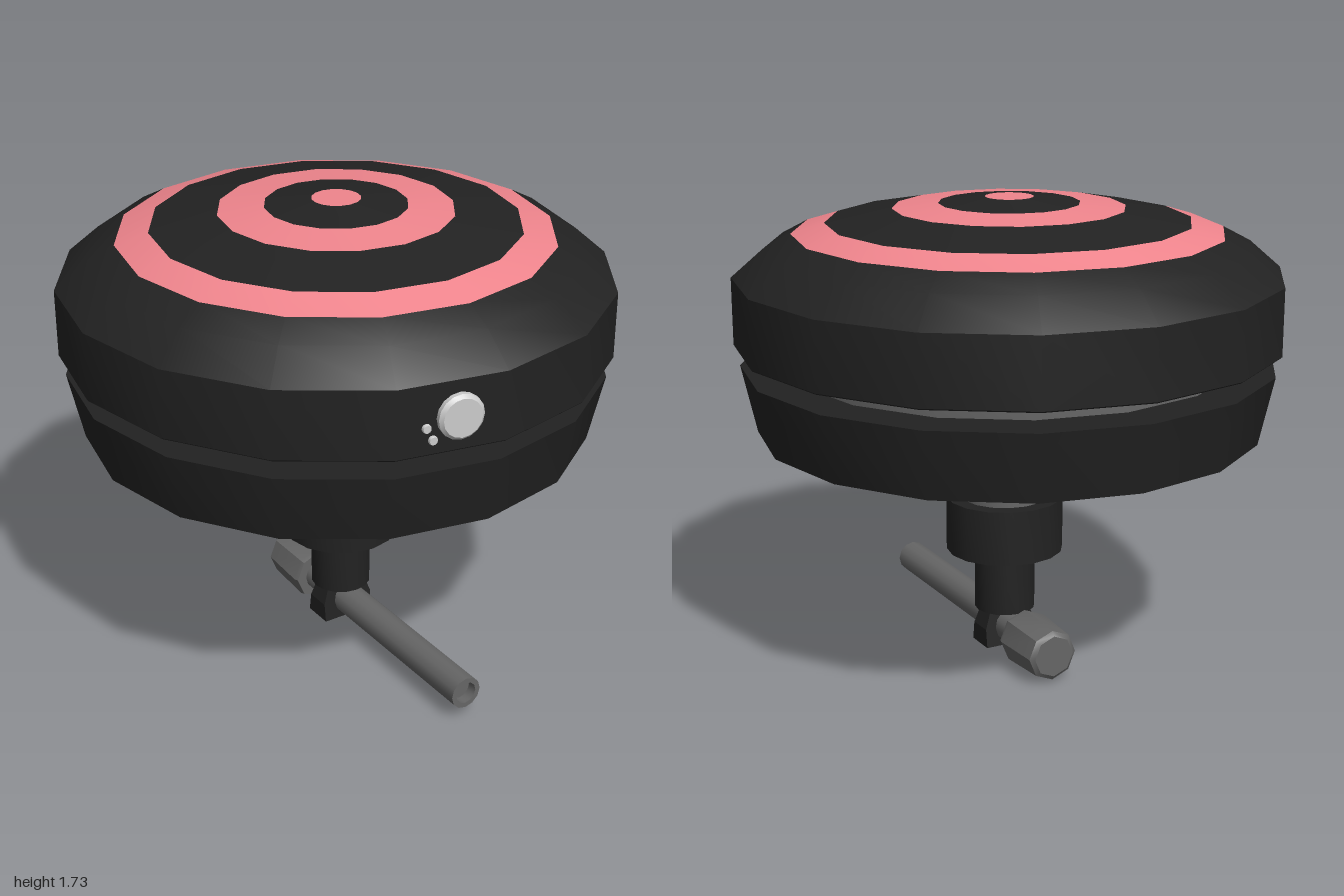
import * as THREE from 'three';
import { toCreasedNormals } from 'three/addons/utils/BufferGeometryUtils.js';

const paint = (color) => new THREE.MeshStandardMaterial({ color });
const black = paint(0x222222);
const pink = paint(0xf0858d);
const steel = paint(0x666666);
const silver = paint(0xcccccc);

// Turned part from [radius, height] pairs, listed from bottom to top
function turned(name, profile, sides, material) {
  const points = profile.map(([r, y]) => new THREE.Vector2(r, y));
  const geometry = toCreasedNormals(new THREE.LatheGeometry(points, sides), Math.PI / 5);
  const mesh = new THREE.Mesh(geometry, material);
  mesh.name = name;
  return mesh;
}

export function createModel() {
  const model = new THREE.Group();
  model.name = 'padOnStem';

  // Upper shell, then the domed top as alternating rings
  model.add(turned('upperShell',
    [[0.8, 1.21], [0.99, 1.21], [0.995, 1.215], [0.995, 1.46], [0.88, 1.56], [0.78, 1.613]], 16, black));
  const dome = [[0.78, 1.613], [0.66, 1.65], [0.42, 1.697], [0.255, 1.714], [0.088, 1.735], [0, 1.735]];
  for (let i = 0; i < dome.length - 1; i++) {
    model.add(turned('topRing' + (i + 1), [dome[i], dome[i + 1]], 16, i % 2 ? black : pink));
  }

  // Recessed band and tapered lower shell
  model.add(turned('recessedBand', [[0.82, 1.13], [0.82, 1.22]], 16, steel));
  model.add(turned('lowerShell',
    [[0, 0.888], [0.92, 0.888], [0.975, 1.138], [0.8, 1.138]], 16, black));

  // Mounting stem
  const stem = new THREE.Group();
  stem.name = 'stem';
  stem.position.x = 0.02;
  stem.add(turned('socket',
    [[0, 0.665], [0.205, 0.665], [0.205, 0.69], [0.218, 0.69], [0.218, 0.9]], 16, black));
  stem.add(turned('stemNeck', [[0.165, 0.6], [0.165, 0.68]], 16, steel));
  stem.add(turned('collar', [[0, 0.415], [0.218, 0.415], [0.218, 0.62], [0, 0.62]], 16, black));
  stem.add(turned('post', [[0, 0.18], [0.113, 0.18], [0.113, 0.43]], 16, black));

  // Clamp block that widens downwards
  const clampShape = new THREE.BoxGeometry(2, 0.14, 2, 1, 2, 1);
  const p = clampShape.attributes.position;
  for (let i = 0; i < p.count; i++) {
    const t = 0.5 - p.getY(i) / 0.14;
    p.setX(i, p.getX(i) * (0.08 + 0.025 * Math.min(1, t * 2)));
    p.setZ(i, p.getZ(i) * (0.038 + 0.02 * t));
  }
  const clamp = new THREE.Mesh(toCreasedNormals(clampShape, 0.3), black);
  clamp.name = 'clamp';
  clamp.position.y = 0.112;
  stem.add(clamp);

  // Cross rod with a hollow front end and a rear knob, both lying along z
  const crossRod = new THREE.Group();
  crossRod.name = 'crossRod';
  crossRod.position.set(0.003, 0.112, 0);
  crossRod.rotation.x = Math.PI / 2;
  crossRod.add(turned('rod',
    [[0.061, -0.2], [0.061, 0.808], [0.042, 0.808], [0.042, 0.77], [0, 0.77]], 12, steel));
  crossRod.add(turned('knob',
    [[0, -0.385], [0.078, -0.385], [0.095, -0.372], [0.105, -0.175], [0.1, -0.158], [0, -0.158]], 8, steel));
  stem.add(crossRod);
  model.add(stem);

  // Button and two small lights on one facet of the upper shell
  const controls = new THREE.Group();
  controls.name = 'controls';
  controls.rotation.y = -Math.PI / 16;
  [['button', 0.025, 1.337, 0.08, 0.03],
   ['upperLight', -0.09, 1.31, 0.016, 0.012],
   ['lowerLight', -0.067, 1.265, 0.016, 0.012]].forEach(([name, x, y, r, h]) => {
    const part = turned(name, [[r, -0.01], [r, h * 0.6], [r * 0.85, h], [0, h]], 16, silver);
    part.rotation.x = Math.PI / 2;
    part.position.set(x, y, 0.975);
    controls.add(part);
  });
  model.add(controls);

  return model;
}
